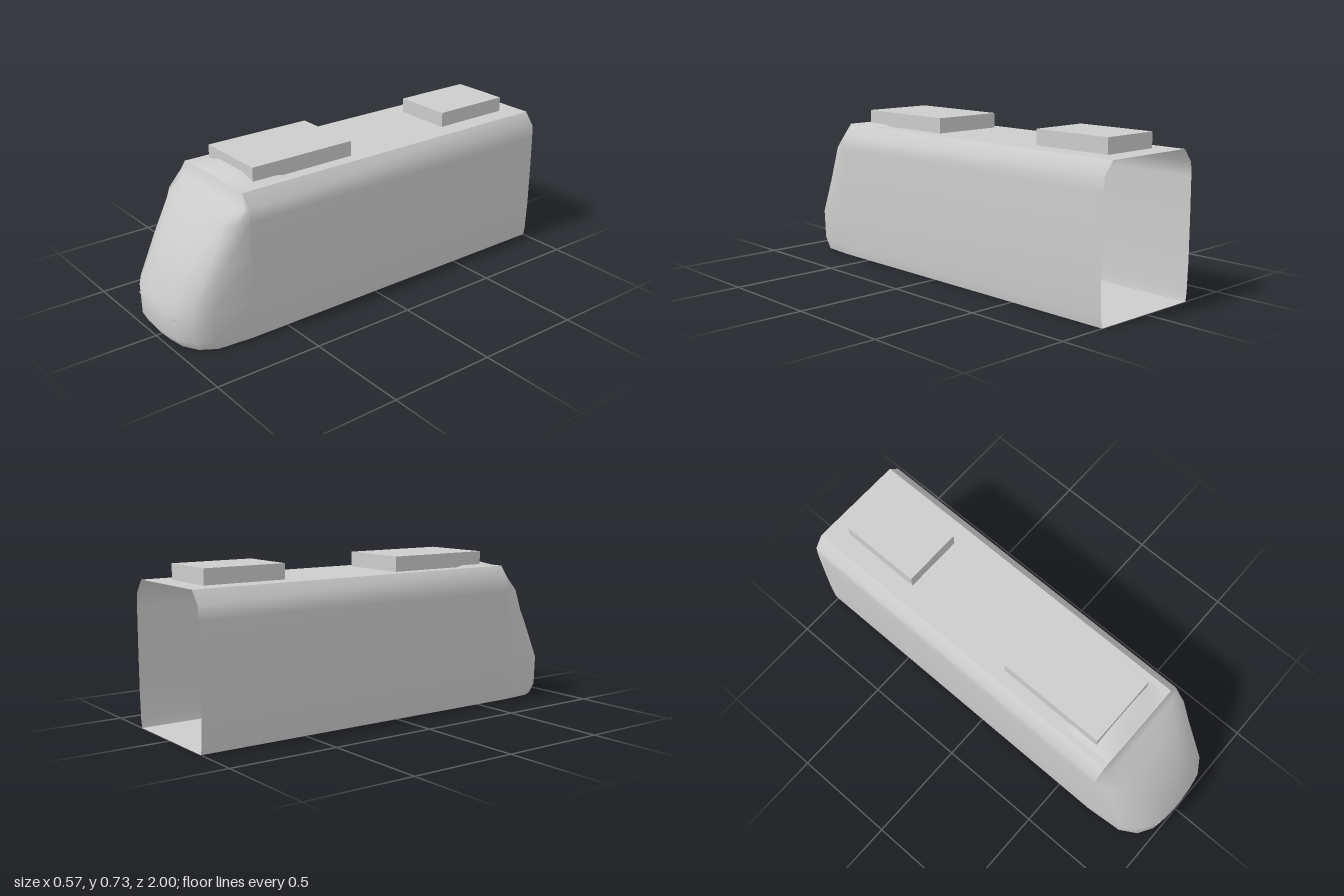
import * as THREE from 'three';

// Smooth surface from a grid of points; columns run rightwards, rows upwards
function gridSurface(rows, cols, point) {
  const pos = [], index = [];
  for (let r = 0; r < rows; r++) for (let c = 0; c < cols; c++) pos.push(...point(r, c));
  for (let r = 0; r < rows - 1; r++) for (let c = 0; c < cols - 1; c++) {
    const a = r * cols + c, d = a + cols;
    index.push(a, a + 1, d + 1, a, d + 1, d);
  }
  const g = new THREE.BufferGeometry();
  g.setAttribute('position', new THREE.Float32BufferAttribute(pos, 3));
  g.setIndex(index);
  g.computeVertexNormals();
  return g;
}

export function createModel() {
  const group = new THREE.Group();
  const grey = new THREE.MeshStandardMaterial({ color: 0xcccccc, side: THREE.DoubleSide });
  grey.name = 'plain grey';
  const add = (name, geometry, x = 0, y = 0, z = 0) => {
    const m = new THREE.Mesh(geometry, grey);
    m.name = name;
    m.position.set(x, y, z);
    group.add(m);
    return m;
  };

  // Section: height, half width, furthest reach of the nose
  const section = [
    [0, 0.272, 0.97], [0.04, 0.279, 0.998], [0.18, 0.284, 1], [0.37, 0.284, 0.895],
    [0.54, 0.282, 0.793], [0.6, 0.277, 0.705], [0.66, 0.23, 0.68],
  ];
  // Plan of the nose: fraction of half width, fraction of reach
  const half = [[0, 1], [0.27, 0.985], [0.54, 0.945], [0.79, 0.81], [0.95, 0.57], [1, 0]];
  const plan = [...half.slice(1).reverse().map(([u, f]) => [-u, f]), ...half];
  const joint = 0.68, tail = -1, roofY = 0.66;
  const nosePoint = (r, c) => {
    const [y, w, reach] = section[r];
    return [plan[c][0] * w, y, joint + (reach - joint) * plan[c][1]];
  };

  // Nose and side walls, the rear end is open
  add('nose', gridSurface(section.length, plan.length, nosePoint));
  for (const s of [1, -1]) {
    add(s > 0 ? 'leftWall' : 'rightWall', gridSurface(section.length, 2, (r, c) =>
      [s * section[r][1], section[r][0], (c === 0) === (s > 0) ? joint : tail]));
  }

  // Roof and floor
  add('roof', gridSurface(2, 2, (r, c) => [c ? 0.23 : -0.23, roofY, r ? tail : joint]));
  const outline = plan.map((_, c) => {
    const p = nosePoint(0, c);
    return new THREE.Vector2(p[0], p[2]);
  });
  outline.push(new THREE.Vector2(0.272, tail), new THREE.Vector2(-0.272, tail));
  add('floor', new THREE.ShapeGeometry(new THREE.Shape(outline)).rotateX(Math.PI / 2));

  // Low fairing leading up to the front roof unit
  const fairX = [-0.2, -0.17, -0.085, 0.085, 0.17, 0.2];
  const fairY = [0, 0.3, 1, 1, 0.3, 0];
  const fairZ = [[0.675, 0], [0.59, 0.03], [0.48, 0.03], [0.43, 0]];
  add('roofFairing', gridSurface(4, 6, (r, c) =>
    [fairX[c], roofY + 0.0005 + fairY[c] * fairZ[r][1], fairZ[r][0]]));

  // Roof units
  add('frontRoofUnit', new THREE.BoxGeometry(0.347, 0.07, 0.52), 0, 0.696, 0.33);
  add('rearRoofUnit', new THREE.BoxGeometry(0.282, 0.07, 0.39), 0, 0.696, -0.705);

  // Headlamps
  for (const s of [1, -1]) {
    for (const [x, y, z, r] of [[0.15, 0.14, 0.981, 0.007], [0.132, 0.132, 0.985, 0.008]]) {
      add('headlamp', new THREE.CylinderGeometry(r, r, 0.006, 6).rotateX(Math.PI / 2), s * x, y, z);
    }
  }
  return group;
}
